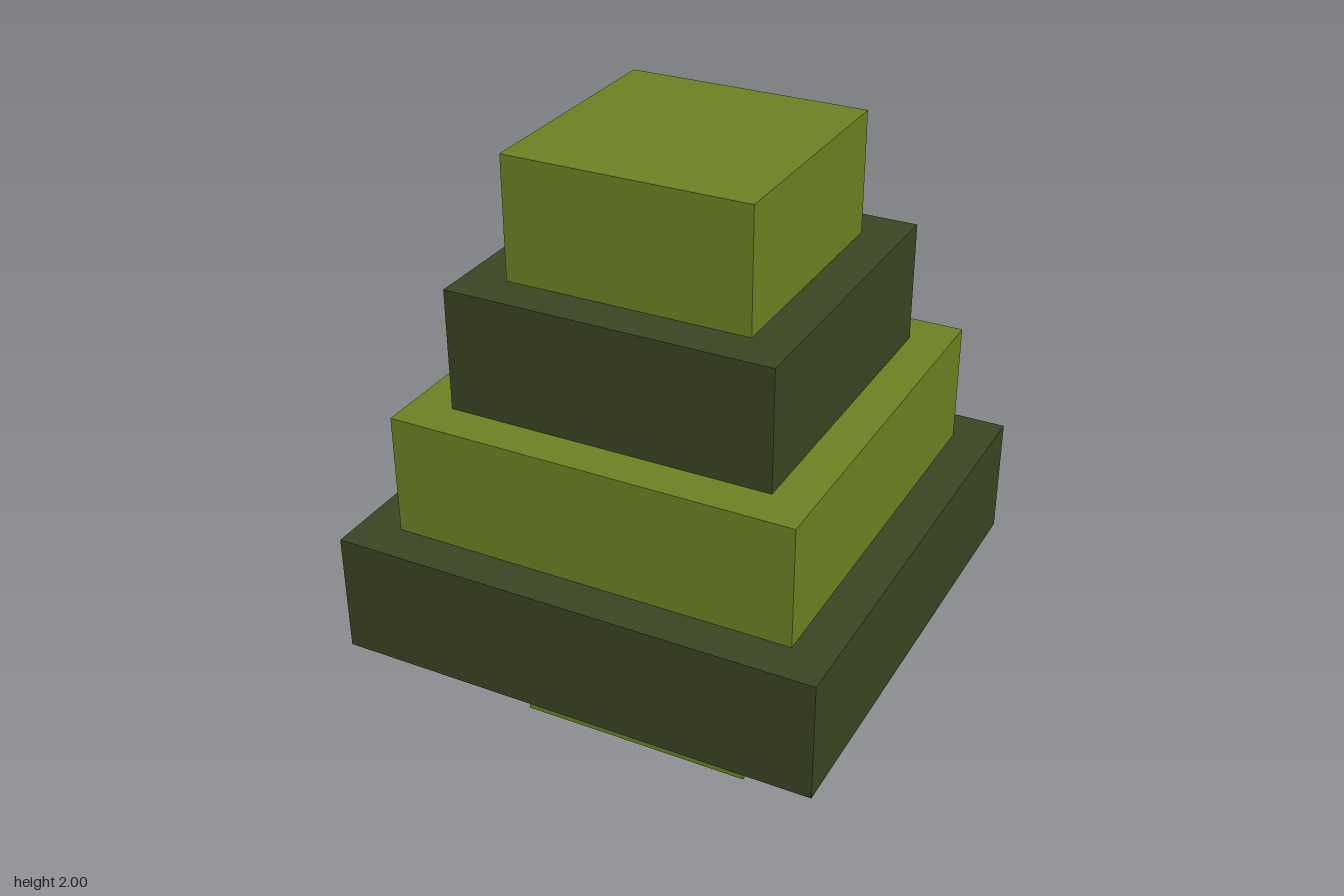
import * as THREE from 'three';

export function createModel() {
  const model = new THREE.Group();
  model.name = 'steppedTree';

  const lightOlive = new THREE.MeshStandardMaterial({ color: 0x6f8322 });
  lightOlive.name = 'light olive';
  const darkOlive = new THREE.MeshStandardMaterial({ color: 0x3b4522 });
  darkOlive.name = 'dark olive';

  // Square blocks stacked from the ground up, alternating in colour
  const height = 0.4;
  const blocks = [
    ['trunk', 0.8],
    ['bottomTier', 1.6],
    ['lowerMiddleTier', 1.333],
    ['upperMiddleTier', 1.067],
    ['topTier', 0.8],
  ];
  blocks.forEach(([name, width], i) => {
    const block = new THREE.Mesh(
      new THREE.BoxGeometry(width, height, width),
      i % 2 ? darkOlive : lightOlive
    );
    block.name = name;
    block.position.y = height * (i + 0.5);
    model.add(block);
  });

  return model;
}
